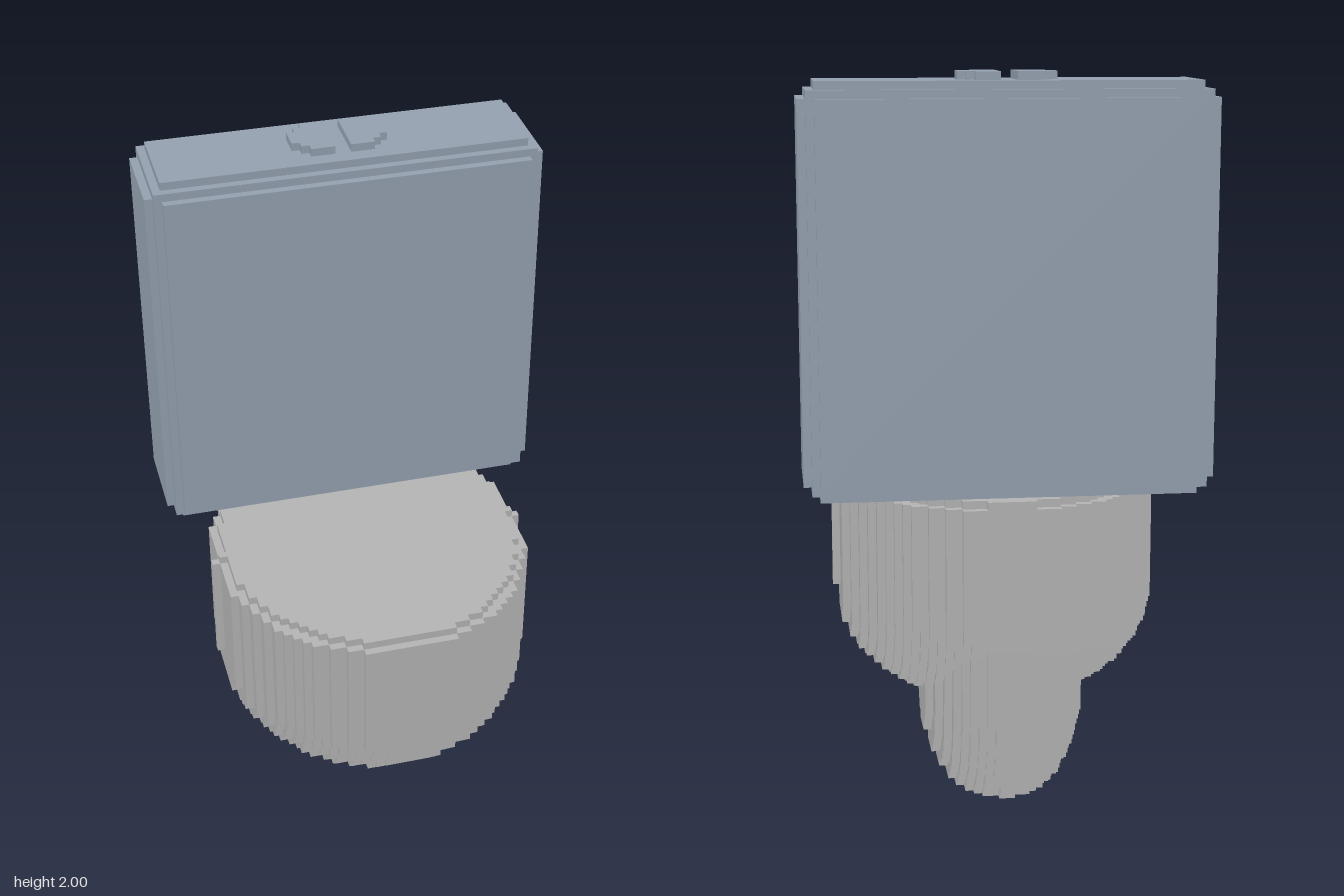
import * as THREE from 'three';
import { mergeGeometries } from 'three/addons/utils/BufferGeometryUtils.js';

const V = 2 / 91; // size of one voxel

// Box between voxel coordinates
function block(x0, x1, y0, y1, z0, z1) {
  const g = new THREE.BoxGeometry((x1 - x0) * V, (y1 - y0) * V, (z1 - z0) * V);
  g.translate((x0 + x1) / 2 * V, (y0 + y1) / 2 * V, (z0 + z1) / 2 * V);
  return g;
}

// Number of voxels on each side of x = 0 inside an ellipse of radii a, b
function halfWidth(a, b, dz) {
  if (a <= 0 || Math.abs(dz) > b) return 0;
  return Math.floor(a * Math.sqrt(1 - (dz / b) ** 2) + 0.5);
}

// Lower half of an ellipsoid below centre, straight wall above it
function roundedScale(y, centre, radius) {
  const d = Math.max(0, centre - y) / radius;
  return d < 1 ? Math.sqrt(1 - d * d) : 0;
}

// Oval bowl with a rounded underside and a one-voxel rim step
function bowlWidth(row, z) {
  const s = roundedScale(row + 0.5, 24, 14.5);
  const inset = row === 39 ? 1 : 0;
  return halfWidth((20.5 - inset) * s, (23 - inset) * s, z);
}

// Narrow oval foot set toward the back
function footWidth(row, z) {
  const s = roundedScale(row + 0.5, 13, 16);
  return halfWidth(10.3 * s, 14.6 * s, z + 8);
}

// Stack voxel rows, joining equal rows into one tall box
function voxelSolid(width) {
  const boxes = [];
  for (let z = -22; z <= 22; z++) {
    let start = 0;
    for (let row = 1; row <= 40; row++) {
      const w = width(start, z);
      if (row < 40 && width(row, z) === w) continue;
      if (w > 0) boxes.push(block(-w, w, start, row, z - 0.5, z + 0.5));
      start = row;
    }
  }
  return mergeGeometries(boxes);
}

export function createModel() {
  const group = new THREE.Group();
  const ceramic = new THREE.MeshStandardMaterial({ color: 0xb4b4b4 });
  ceramic.name = 'grey ceramic';
  const blueGrey = new THREE.MeshStandardMaterial({ color: 0x94a1b0 });
  blueGrey.name = 'blue grey';

  function add(name, geometry, material) {
    const mesh = new THREE.Mesh(geometry, material);
    mesh.name = name;
    group.add(mesh);
  }

  // Bowl and foot
  add('bowlAndFoot', voxelSolid((row, z) => Math.max(bowlWidth(row, z), footWidth(row, z))), ceramic);

  // Cistern with stepped edges: the same box inset differently per axis
  const insets = [[0, 2, 2], [2, 0, 2], [2, 2, 0], [1, 1, 1]];
  add('cistern', mergeGeometries(insets.map(([x, y, z]) =>
    block(-25 + x, 25 - x, 40 + y, 90 - y, -22.5 + z, -7.5 - z))), blueGrey);

  // Two half-round flush buttons
  for (const side of [1, -1]) {
    const steps = [[1, 4, 3.5], [4, 5, 2.5], [5, 6, 1.5]];
    const geometry = mergeGeometries(steps.map(([x0, x1, h]) =>
      block(side > 0 ? x0 : -x1, side > 0 ? x1 : -x0, 90, 91, -15 - h, -15 + h)));
    add(side > 0 ? 'leftFlushButton' : 'rightFlushButton', geometry, blueGrey);
  }
  return group;
}
